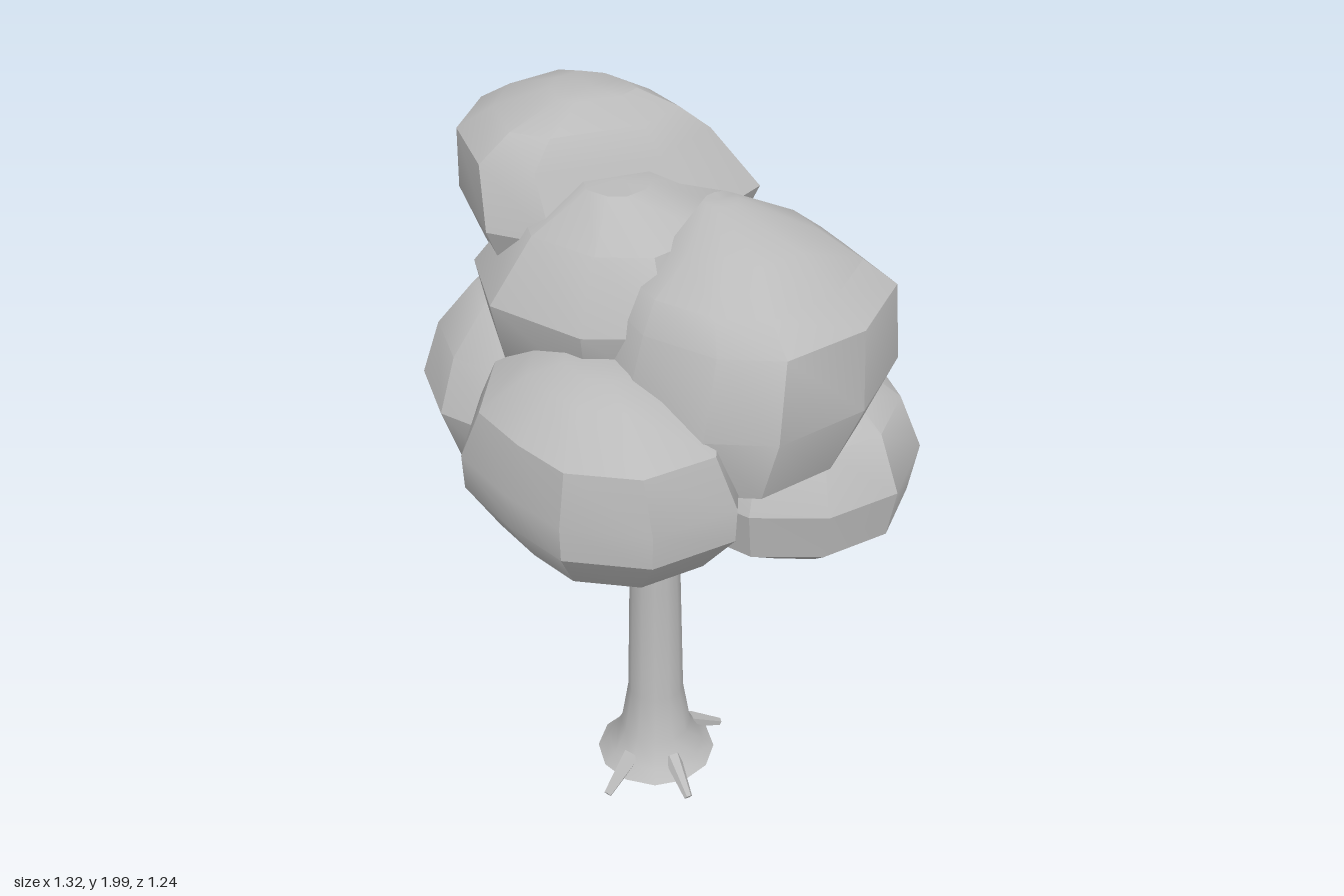
import * as THREE from 'three';
import { toCreasedNormals } from 'three/addons/utils/BufferGeometryUtils.js';

const grey = new THREE.MeshStandardMaterial({ color: 0xbbbbbb });
grey.name = 'grey';

const CX = -0.04, CZ = -0.04; // trunk axis

// Foliage clump: a plan outline [x, z] lofted through rings [y, scale, dx, dz], top to bottom
function clumpGeometry(outline, rings) {
  const n = outline.length;
  const cx = outline.reduce((s, p) => s + p[0], 0) / n;
  const cz = outline.reduce((s, p) => s + p[1], 0) / n;
  const pos = [], index = [];
  for (const [y, s, dx = 0, dz = 0] of rings) {
    for (const [x, z] of outline) pos.push(cx + dx + (x - cx) * s, y, cz + dz + (z - cz) * s);
  }
  const last = rings.length - 1;
  for (const [y, , dx = 0, dz = 0] of [rings[0], rings[last]]) pos.push(cx + dx, y, cz + dz);
  const topPole = n * rings.length, bottomPole = topPole + 1;
  for (let i = 0; i < n; i++) {
    const k = (i + 1) % n;
    for (let j = 0; j < last; j++) {
      const a = j * n + i, b = j * n + k;
      index.push(a, b, a + n, b, b + n, a + n);
    }
    index.push(topPole, k, i, bottomPole, last * n + i, last * n + k);
  }
  const geo = new THREE.BufferGeometry();
  geo.setAttribute('position', new THREE.Float32BufferAttribute(pos, 3));
  geo.setIndex(index);
  return toCreasedNormals(geo, 0.55);
}

// Tapered rod between two points
function rod(name, from, to, r0, r1, sides) {
  const a = new THREE.Vector3(...from), b = new THREE.Vector3(...to);
  const dir = b.clone().sub(a);
  const geo = new THREE.CylinderGeometry(r1, r0, dir.length(), sides);
  const mesh = new THREE.Mesh(toCreasedNormals(geo, 0.7), grey);
  mesh.position.copy(a).add(b).multiplyScalar(0.5);
  mesh.quaternion.setFromUnitVectors(new THREE.Vector3(0, 1, 0), dir.normalize());
  mesh.name = name;
  return mesh;
}

const clumps = {
  topFoliage: [
    [[-0.28, -0.6], [-0.07, -0.55], [0.1, -0.4], [0.22, -0.23], [0.08, -0.04],
      [-0.27, 0.09], [-0.43, 0.03], [-0.52, -0.22], [-0.47, -0.45]],
    [[2.0, 0.28, -0.01, 0.04], [1.955, 0.6, -0.04, 0.03], [1.89, 0.83, -0.055, 0], [1.74, 1],
      [1.6, 0.84], [1.53, 0.5]],
  ],
  upperFrontFoliage: [
    [[0.25, -0.22], [0.43, -0.12], [0.55, 0.1], [0.45, 0.34], [0.25, 0.49], [0.08, 0.48],
      [-0.1, 0.37], [-0.18, 0.22], [-0.1, 0.0], [0.05, -0.15]],
    [[1.84, 0.12, -0.05, -0.1], [1.78, 0.47, 0, -0.04], [1.71, 0.74, 0, -0.02],
      [1.64, 0.91, 0.02, -0.02], [1.45, 1], [1.28, 0.83, -0.02, 0.02],
      [1.2, 0.52, 0.03, -0.05], [1.17, 0.28, 0.07, -0.07]],
  ],
  lowerLeftFoliage: [
    [[0.19, -0.5], [0.43, -0.53], [0.6, -0.34], [0.66, -0.13], [0.58, 0.09], [0.4, 0.2],
      [0.2, 0.2], [0.03, 0.08], [0.01, -0.2], [0.08, -0.4]],
    [[1.31, 0.25], [1.26, 0.55], [1.19, 0.82], [1.04, 1], [0.9, 0.93],
      [0.785, 0.47, 0.03, 0.02], [0.755, 0.2, 0.03, 0.02]],
  ],
  lowerFrontFoliage: [
    [[-0.3, -0.04], [-0.1, -0.04], [0.1, 0.05], [0.17, 0.3], [0.16, 0.51], [-0.03, 0.62],
      [-0.24, 0.59], [-0.37, 0.46], [-0.49, 0.3], [-0.47, 0.03]],
    [[1.54, 0.25], [1.51, 0.5], [1.43, 0.84, 0, 0.03], [1.29, 1], [1.2, 0.99],
      [1.07, 0.76, 0, -0.02], [0.99, 0.43, 0, -0.04], [0.97, 0.2, 0, -0.05]],
  ],
  lowerRightFoliage: [
    [[-0.66, -0.28], [-0.58, -0.47], [-0.4, -0.55], [-0.2, -0.62], [-0.03, -0.52], [0.05, -0.3],
      [0, -0.1], [-0.2, 0.04], [-0.45, 0.02], [-0.59, -0.07]],
    [[1.48, 0.3], [1.44, 0.58], [1.32, 0.86], [1.17, 1], [1.0, 0.84], [0.91, 0.58], [0.87, 0.25]],
  ],
  middleFoliage: [
    [[-0.4, -0.35], [-0.2, -0.47], [0.05, -0.47], [0.22, -0.33], [0.25, -0.1], [0.2, 0.1],
      [0, 0.28], [-0.2, 0.28], [-0.42, 0.13], [-0.48, -0.1]],
    [[1.86, 0.22, -0.02, 0.1], [1.77, 0.68, 0, 0.05], [1.6, 1], [1.45, 0.92], [1.35, 0.72], [1.28, 0.35]],
  ],
};

export function createModel() {
  const tree = new THREE.Group();
  tree.name = 'tree';

  // Trunk with flared, closed foot
  const profile = [[0, 0.04], [0.168, 0.04], [0.135, 0.07], [0.1, 0.14], [0.078, 0.28],
    [0.07, 0.65], [0.06, 1.0], [0.045, 1.3], [0, 1.3]].map(([r, y]) => new THREE.Vector2(r, y));
  const trunk = new THREE.Mesh(toCreasedNormals(new THREE.LatheGeometry(profile, 12), 0.7), grey);
  trunk.position.set(CX, 0, CZ);
  trunk.name = 'trunk';
  tree.add(trunk);

  // Root tips reaching the ground
  for (const [x, z] of [[-0.175, 0.14], [0.055, 0.15], [0.145, -0.165]]) {
    const inner = [CX + (x - CX) * 0.5, 0.085, CZ + (z - CZ) * 0.5];
    tree.add(rod('root', inner, [x, 0.017, z], 0.026, 0.012, 6));
  }

  // Branches into the lower clumps
  tree.add(rod('leftBranch', [-0.03, 0.7, -0.05], [0.2, 0.93, -0.12], 0.025, 0.022, 6));
  tree.add(rod('rightBranch', [-0.05, 0.8, -0.06], [-0.25, 1.06, -0.2], 0.024, 0.02, 6));
  tree.add(rod('frontBranch', [-0.05, 0.92, -0.02], [-0.1, 1.12, 0.16], 0.026, 0.022, 6));

  // Foliage
  for (const [name, [outline, rings]] of Object.entries(clumps)) {
    const mesh = new THREE.Mesh(clumpGeometry(outline, rings), grey);
    mesh.name = name;
    tree.add(mesh);
  }

  return tree;
}
